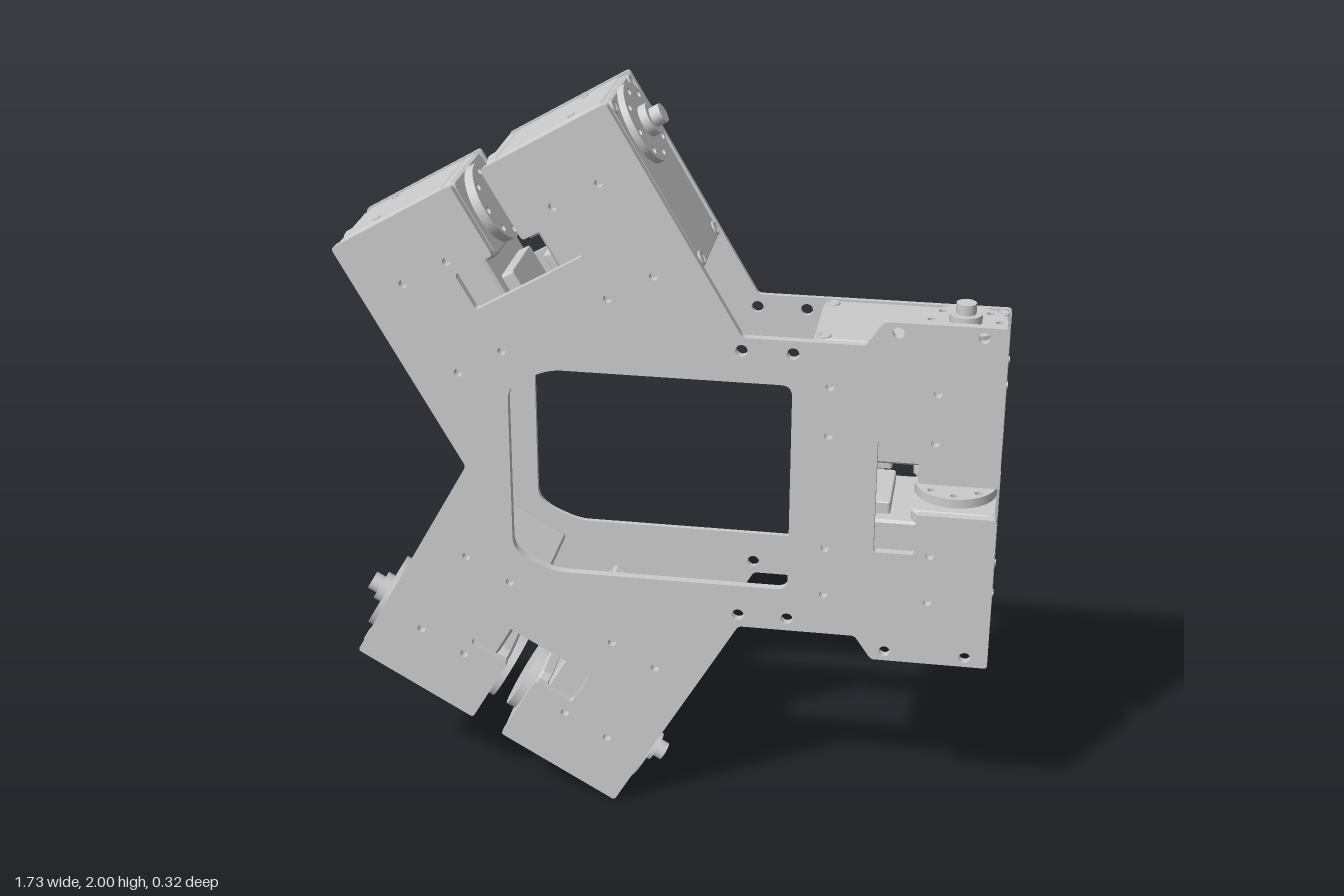
import * as THREE from 'three';

const MID = 1.003;           // height of the symmetry axis
const HALF = 0.412;          // half width of an arm
const GREY = new THREE.MeshStandardMaterial({ color: 0xcccccc });

// Each arm: centre of its outer end and its outward angle
const ARMS = [
  { x: 0.865, y: MID, a: 0 },
  { x: -0.491, y: MID + 0.791, a: Math.PI * 2 / 3 },
  { x: -0.491, y: MID - 0.791, a: -Math.PI * 2 / 3 },
];

// u runs inward from the arm end, v runs across the arm
function armPoint(arm, u, v) {
  const c = Math.cos(arm.a), s = Math.sin(arm.a);
  return [arm.x - u * c - v * s, arm.y - u * s + v * c];
}

function mesh(name, geometry, parent) {
  const m = new THREE.Mesh(geometry, GREY);
  m.name = name;
  parent.add(m);
  return m;
}

// Closed outline with small rounded corners
function roundedPath(path, points, r) {
  const pts = points.map(([x, y]) => new THREE.Vector2(x, y));
  pts.forEach((p, i) => {
    const prev = pts[(i + pts.length - 1) % pts.length];
    const next = pts[(i + 1) % pts.length];
    const inPt = p.clone().lerp(prev, Math.min(0.45, r / p.distanceTo(prev)));
    const outPt = p.clone().lerp(next, Math.min(0.45, r / p.distanceTo(next)));
    if (i === 0) path.moveTo(inPt.x, inPt.y);
    else path.lineTo(inPt.x, inPt.y);
    path.quadraticCurveTo(p.x, p.y, outPt.x, outPt.y);
  });
  path.closePath();
  return path;
}

function hole(shape, x, y, r) {
  shape.holes.push(new THREE.Path().absarc(x, y, r, 0, Math.PI * 2, true));
}

// Three-armed side plate; the front one carries ears on the +x arm
function plateGeometry(thickness, ears) {
  const slot = [[0, -HALF], [0, -0.045], [0.205, -0.045], [0.205, -0.16], [0.31, -0.16],
    [0.31, 0.16], [0.205, 0.16], [0.205, 0.045], [0, 0.045], [0, HALF]];
  const ends = ARMS.map(arm => slot.map(([u, v]) => armPoint(arm, u, v)));
  if (ears) {
    const ear = [[0.515, HALF], [0.56, 0.478], [0.865, 0.478]];
    const lower = ear.map(([x, v]) => [x, MID - v]);
    const upper = ear.map(([x, v]) => [x, MID + v]).reverse();
    ends[0] = [...lower, ...ends[0].slice(1, -1), ...upper];
  }
  const outline = [...ends[0], [0.207, MID + HALF], ...ends[1], [-0.52, MID],
    ...ends[2], [0.207, MID - HALF]];
  const shape = roundedPath(new THREE.Shape(), outline, 0.01);

  // Central window
  const half = [[-0.4, 0.225], [-0.365, 0.258], [-0.285, 0.291], [0.335, 0.291]];
  const opening = [...half.map(([x, v]) => [x, MID + v]),
    ...half.map(([x, v]) => [x, MID - v]).reverse()];
  shape.holes.push(roundedPath(new THREE.Path(), opening, 0.03));

  // Screw holes
  for (const arm of ARMS)
    for (const u of [0.165, 0.435])
      for (const v of [-0.295, -0.16, 0.16, 0.295]) hole(shape, ...armPoint(arm, u, v), 0.011);
  for (const s of [-1, 1]) {
    for (const x of [0.205, 0.335]) hole(shape, x, MID + s * 0.377, 0.016);
    if (ears) for (const x of [0.595, 0.805]) hole(shape, x, MID + s * 0.451, 0.015);
  }
  return new THREE.ExtrudeGeometry(shape, { depth: thickness, bevelEnabled: false, curveSegments: 6 });
}

// Block with rounded vertical corners and bevelled rims, from y0 to y1
function block(x0, x1, halfZ, y0, y1, r = 0.02, bevel = 0.007) {
  const b = bevel;
  const shape = roundedPath(new THREE.Shape(), [[x0 + b, -halfZ + b], [x1 - b, -halfZ + b],
    [x1 - b, halfZ - b], [x0 + b, halfZ - b]], r);
  return new THREE.ExtrudeGeometry(shape, { depth: y1 - y0 - 2 * b, bevelThickness: b,
    bevelSize: b, bevelSegments: 1, curveSegments: 4 }).rotateX(-Math.PI / 2).translate(0, y0 + b, 0);
}

function cylinder(r, y0, y1, x, z, sides = 24) {
  return new THREE.CylinderGeometry(r, r, y1 - y0, sides).translate(x, (y0 + y1) / 2, z);
}

// Horn disc with a ring of holes
function hornDisc(y0, y1) {
  const shape = new THREE.Shape().absarc(0, 0, 0.107, 0, Math.PI * 2, false);
  for (let i = 0; i < 8; i++) {
    const a = i * Math.PI / 4;
    hole(shape, 0.086 * Math.cos(a), 0.086 * Math.sin(a), 0.01);
  }
  return new THREE.ExtrudeGeometry(shape, { depth: y1 - y0, bevelEnabled: false, curveSegments: 32 })
    .rotateX(-Math.PI / 2).translate(-0.113, y0, 0);
}

// Servo: end face at x = 0, outer side towards +y
function createServo() {
  const servo = new THREE.Group();
  servo.name = 'servo';
  mesh('servoBody', block(-0.487, 0, 0.14, 0.08, 0.392), servo);
  mesh('outerCover', block(-0.484, -0.003, 0.137, 0.388, 0.41), servo);
  mesh('innerCap', block(-0.22, 0, 0.14, 0.047, 0.085), servo);
  mesh('cableSocket', block(-0.4, -0.275, 0.1, 0.047, 0.085, 0.006, 0.003), servo);

  mesh('outerHorn', hornDisc(0.409, 0.428), servo);
  mesh('hornHub', cylinder(0.042, 0.42, 0.45, -0.113, 0), servo);
  mesh('hornScrew', cylinder(0.026, 0.45, 0.478, -0.113, 0, 12), servo);
  mesh('innerHorn', hornDisc(0.022, 0.048), servo);

  // Corner screws on the cover, small screws on both end faces
  for (const z of [-0.113, 0.113])
    for (const x of [-0.46, -0.024]) {
      mesh('coverScrew', new THREE.TorusGeometry(0.015, 0.005, 6, 16)
        .rotateX(Math.PI / 2).translate(x, 0.41, z), servo);
      mesh('coverScrewHead', cylinder(0.011, 0.4, 0.412, x, z, 12), servo);
    }
  for (const z of [-0.085, 0.085])
    for (const x of [-0.487, 0])
      mesh('endScrew', new THREE.CylinderGeometry(0.01, 0.01, 0.006, 12)
        .rotateZ(Math.PI / 2).translate(x, 0.295, z), servo);
  return servo;
}

export function createModel() {
  const model = new THREE.Group();
  model.name = 'threeArmServoFrame';

  mesh('frontPlate', plateGeometry(0.023, true), model).position.z = 0.138;
  mesh('backPlate', plateGeometry(0.014, false), model).position.z = -0.161;

  // A mirrored pair of servos in every arm
  const servo = createServo();
  for (const arm of ARMS) {
    const pair = new THREE.Group();
    pair.name = 'servoPair';
    pair.position.set(arm.x, arm.y, -0.006);
    pair.rotation.z = arm.a;
    const upper = servo.clone();
    const lower = servo.clone();
    lower.rotation.x = Math.PI;
    pair.add(upper, lower);
    model.add(pair);
  }
  return model;
}
